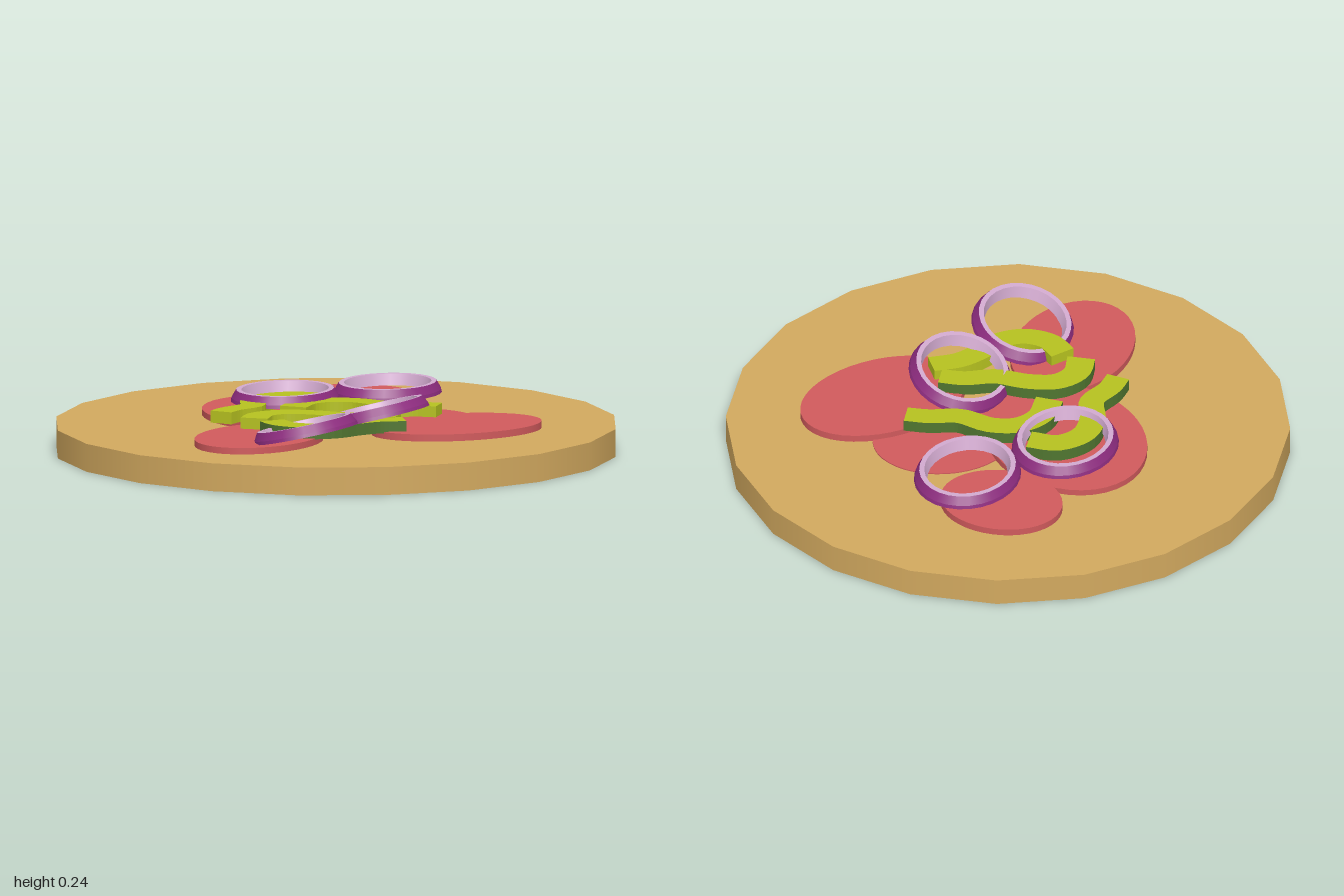
import * as THREE from 'three';
import { mergeGeometries } from 'three/addons/utils/BufferGeometryUtils.js';

const paint = (name, color, extra = {}) => {
  const m = new THREE.MeshStandardMaterial({ color, ...extra });
  m.name = name;
  return m;
};

export function createModel() {
  const group = new THREE.Group();
  const crust = paint('crust', 0xd2a95f);
  const meat = paint('meat', 0xd05a5c);
  const flesh = paint('pepperFlesh', 0xb6c220, { side: THREE.DoubleSide });
  const skin = paint('pepperSkin', 0x507530, { side: THREE.DoubleSide });
  const onion = paint('onionFlesh', 0xd2aacf);
  const onionSkin = paint('onionSkin', 0x8c2c7e);

  const add = (name, geo, mat, parent = group) => {
    const mesh = new THREE.Mesh(geo, mat);
    mesh.name = name;
    parent.add(mesh);
    return mesh;
  };

  // Round base with twenty sides
  add('base', new THREE.CylinderGeometry(1, 1, 0.1, 20), crust).position.y = 0.05;

  // Oval meat slices: x, z, half length, half width, turn, top height
  [
    [-0.16, -0.5, 0.22, 0.185, 0, 0.124],
    [-0.235, -0.045, 0.35, 0.275, -0.8, 0.122],
    [0.46, -0.03, 0.32, 0.22, 0.93, 0.125],
    [-0.06, 0.5, 0.21, 0.295, 0, 0.123],
    [0.18, -0.18, 0.25, 0.22, 0.6, 0.104],
  ].forEach(([x, z, a, b, turn, top]) => {
    const geo = new THREE.CylinderGeometry(1, 1, top - 0.09, 40);
    const slice = add('meatSlice', geo, meat);
    slice.scale.set(a, 1, b);
    slice.rotation.y = turn;
    slice.position.set(x, (top + 0.09) / 2, z);
  });

  // Pepper strip: a box section swept along a plan curve, skin on the outer wall
  const pepper = (points, y0, y1, w0, w1) => {
    const curve = new THREE.CatmullRomCurve3(points.map(([x, z]) => new THREE.Vector3(x, 0, z)));
    const n = 28;
    const rows = [];
    for (let i = 0; i <= n; i++) {
      const u = i / n;
      const p = curve.getPointAt(u);
      const t = curve.getTangentAt(u);
      const h = (w0 + (w1 - w0) * u) / 2;
      const at = (s, y) => [p.x + t.z * h * s, y, p.z - t.x * h * s];
      rows.push({ ob: at(1, y0), ot: at(1, y1), ib: at(-1, y0), it: at(-1, y1) });
    }
    const fleshPos = [];
    const skinPos = [];
    const quad = (out, a, b, c, d) => out.push(...a, ...b, ...c, ...a, ...c, ...d);
    for (let i = 0; i < n; i++) {
      const p = rows[i];
      const q = rows[i + 1];
      quad(fleshPos, p.ot, p.it, q.it, q.ot);
      quad(fleshPos, p.ib, q.ib, q.it, p.it);
      quad(fleshPos, q.ob, q.ib, p.ib, p.ob);
      quad(skinPos, q.ob, p.ob, p.ot, q.ot);
    }
    const s = rows[0];
    const e = rows[n];
    quad(fleshPos, s.ob, s.ib, s.it, s.ot);
    quad(fleshPos, e.ib, e.ob, e.ot, e.it);
    const strip = new THREE.Group();
    strip.name = 'pepperStrip';
    group.add(strip);
    [['pepperFlesh', fleshPos, flesh], ['pepperSkin', skinPos, skin]].forEach(([name, pos, mat]) => {
      const geo = new THREE.BufferGeometry();
      geo.setAttribute('position', new THREE.Float32BufferAttribute(pos, 3));
      geo.computeVertexNormals();
      add(name, geo, mat, strip);
    });
  };
  pepper([[-0.12, 0.1], [-0.125, -0.01], [-0.075, -0.09], [0.02, -0.125], [0.14, -0.11],
    [0.245, -0.15], [0.325, -0.165]], 0.122, 0.164, 0.1, 0.085);
  pepper([[-0.135, 0.385], [-0.15, 0.29], [-0.105, 0.215], [-0.01, 0.18], [0.11, 0.17],
    [0.21, 0.12], [0.295, 0.105]], 0.122, 0.163, 0.1, 0.085);
  pepper([[0.35, 0.165], [0.265, 0.225], [0.21, 0.31], [0.175, 0.39], [0.1, 0.445],
    [0.01, 0.445], [-0.06, 0.395]], 0.12, 0.162, 0.09, 0.095);
  pepper([[-0.3, 0.315], [-0.295, 0.24], [-0.265, 0.14], [-0.305, 0.04], [-0.31, -0.065],
    [-0.245, -0.15], [-0.14, -0.165]], 0.122, 0.165, 0.085, 0.1);

  // Onion ring: tapered section turned round, then stretched to an oval
  const lathe = (pts) => mergeGeometries(pts.slice(1).map((b, i) => new THREE.LatheGeometry(
    [new THREE.Vector2(...pts[i]), new THREE.Vector2(...b)], 28)));
  const skinGeo = lathe([[0.19, -0.02], [0.187, -0.008], [0.171, 0.02]]);
  const fleshGeo = lathe([[0.171, 0.02], [0.153, 0.02], [0.142, -0.02], [0.19, -0.02]]);
  // x, y, z, turn, sideways tilt
  [
    [-0.005, 0.166, -0.428, 0, 0],
    [-0.264, 0.166, -0.13, 0, 0],
    [0.228, 0.178, 0.14, 0.2, 0.245],
    [0.132, 0.165, 0.522, 0.25, 0.225],
  ].forEach(([x, y, z, turn, tilt]) => {
    const ring = new THREE.Group();
    ring.name = 'onionRing';
    ring.position.set(x, y, z);
    ring.rotation.z = tilt;
    const oval = new THREE.Group();
    oval.name = 'onionOval';
    oval.rotation.y = turn;
    oval.scale.set(0.98, 1, 1.15);
    ring.add(oval);
    add('onionSkin', skinGeo, onionSkin, oval);
    add('onionFlesh', fleshGeo, onion, oval);
    group.add(ring);
  });

  return group;
}
